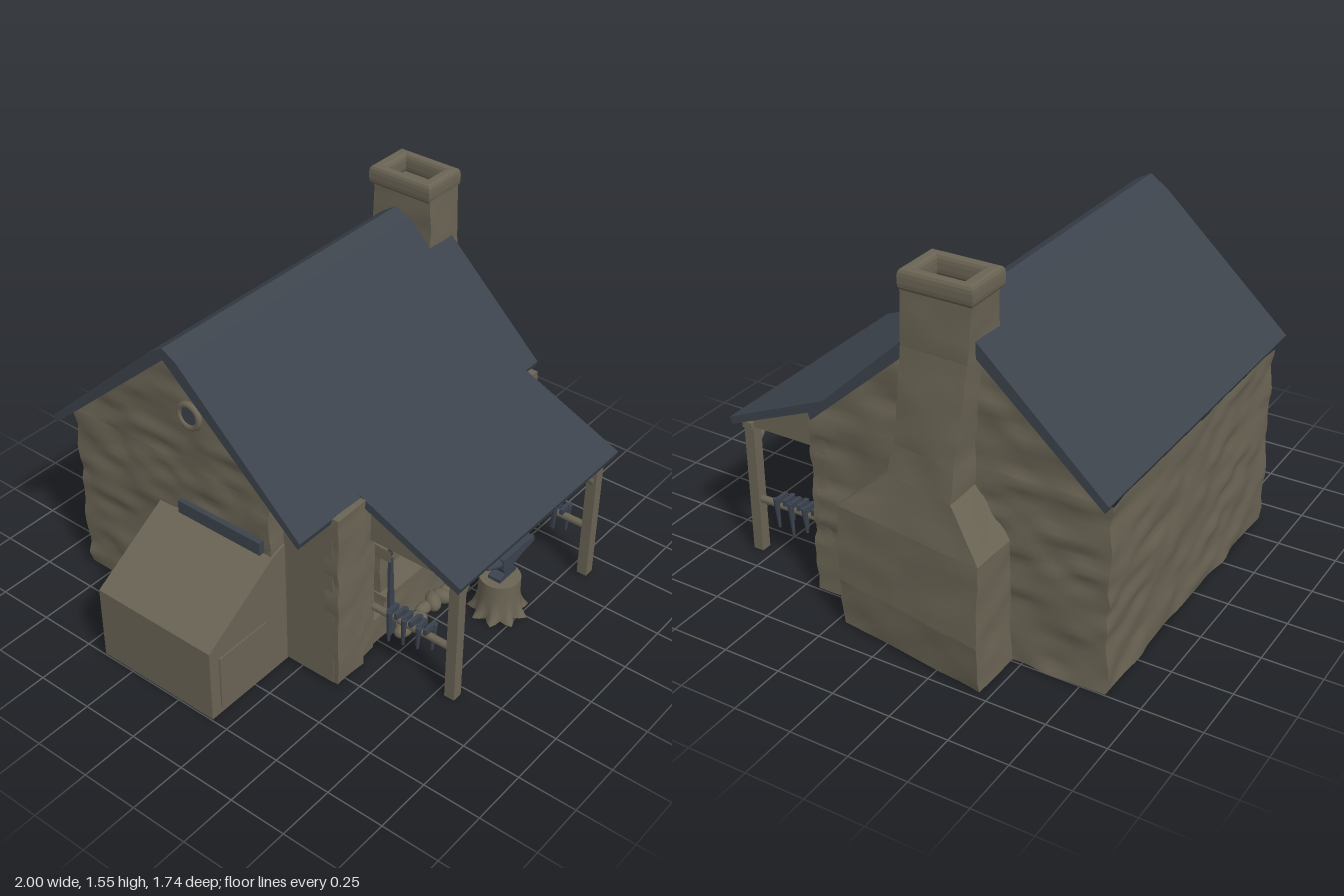
import * as THREE from 'three';

const mat = (name, color, side = THREE.FrontSide) => {
  const m = new THREE.MeshStandardMaterial({ color, side });
  m.name = name;
  return m;
};

// Smooth value noise in -1..1
const hash = (x, y, z) => {
  const s = Math.sin(x * 127.1 + y * 311.7 + z * 74.7) * 43758.5453;
  return s - Math.floor(s);
};
const noise = (x, y, z) => {
  const c = [x, y, z].map(Math.floor);
  const f = [x, y, z].map((v, i) => { const t = v - c[i]; return t * t * (3 - 2 * t); });
  let sum = 0;
  for (let i = 0; i < 8; i++) {
    const b = [i & 1, (i >> 1) & 1, i >> 2];
    const w = b.reduce((p, k, j) => p * (k ? f[j] : 1 - f[j]), 1);
    sum += w * hash(c[0] + b[0], c[1] + b[1], c[2] + b[2]);
  }
  return 2 * sum - 1;
};

export function createModel() {
  const root = new THREE.Group();
  root.name = 'smithy';
  const stone = mat('weathered stone', 0x6a6454);
  const slate = mat('dark slate', 0x3c434c);
  const iron = mat('iron', 0x3b424e);
  const fire = mat('fire glow', 0xffaa18, THREE.DoubleSide);

  const add = (name, geo, material, parent = root) => {
    const m = new THREE.Mesh(geo, material);
    m.name = name;
    parent.add(m);
    return m;
  };
  const group = (name) => {
    const g = new THREE.Group();
    g.name = name;
    root.add(g);
    return g;
  };

  // Uneven masonry: shift vertices by a function of position, so seams stay closed
  const rough = (geo, amp) => {
    const p = geo.attributes.position;
    for (let i = 0; i < p.count; i++) {
      const x = p.getX(i), y = p.getY(i), z = p.getZ(i);
      const a = noise(8 * x, 18 * y, 8 * z), b = noise(8 * x + 40, 18 * y, 8 * z + 20);
      p.setXYZ(i, x + amp * a, y > 0.02 ? y + amp * 0.3 * b : y, z + amp * b);
    }
    geo.computeVertexNormals();
    return geo;
  };

  // Box from its limits, optionally subdivided and roughened
  const box = (name, x0, x1, y0, y1, z0, z1, material, parent = root, amp = 0) => {
    const w = x1 - x0, h = y1 - y0, d = z1 - z0;
    const n = (s) => (amp ? Math.max(1, Math.round(s / 0.03)) : 1);
    const g = new THREE.BoxGeometry(w, h, d, n(w), n(h), n(d));
    g.translate((x0 + x1) / 2, (y0 + y1) / 2, (z0 + z1) / 2);
    return add(name, amp ? rough(g, amp) : g, material, parent);
  };

  // Bilinear wall patch, corners counter-clockwise seen from outside
  const patch = (name, a, b, c, d, nu, nv, parent, amp = 0.011) => {
    const g = new THREE.PlaneGeometry(1, 1, nu, nv);
    const p = g.attributes.position;
    const [A, B, C, D] = [a, b, c, d].map((v) => new THREE.Vector3(...v));
    for (let i = 0; i < p.count; i++) {
      const u = p.getX(i) + 0.5, v = p.getY(i) + 0.5;
      const q = A.clone().lerp(B, u).lerp(D.clone().lerp(C, u), v);
      p.setXYZ(i, q.x, q.y, q.z);
    }
    return add(name, rough(g, amp), stone, parent);
  };

  // Prism along x from a (z, y) outline
  const prismX = (name, pts, x0, x1, material, parent = root) => {
    const s = new THREE.Shape(pts.map(([z, y]) => new THREE.Vector2(-z, y)));
    const g = new THREE.ExtrudeGeometry(s, { depth: x1 - x0, bevelEnabled: false });
    return add(name, g.rotateY(Math.PI / 2).translate(x0, 0, 0), material, parent);
  };
  // Prism along z from an (x, y) outline
  const prismZ = (name, pts, z0, z1, material, parent = root) => {
    const s = new THREE.Shape(pts.map((v) => new THREE.Vector2(...v)));
    const g = new THREE.ExtrudeGeometry(s, { depth: z1 - z0, bevelEnabled: false });
    return add(name, g.translate(0, 0, z0), material, parent);
  };
  // Round bar between two points
  const bar = (name, a, b, r0, r1, material, parent = root) => {
    const A = new THREE.Vector3(...a), B = new THREE.Vector3(...b), d = B.clone().sub(A);
    const m = add(name, new THREE.CylinderGeometry(r1, r0, d.length(), 8), material, parent);
    m.position.copy(A).add(B).multiplyScalar(0.5);
    m.quaternion.setFromUnitVectors(new THREE.Vector3(0, 1, 0), d.normalize());
    return m;
  };

  // House shell, open at the front; the front left corner is set back
  const L = -0.635, R = 0.75, F = 0.41, S = 0.17, B = -0.855, E = 0.8, T = 1.36, M = -0.225;
  const walls = group('houseWalls');
  patch('backWall', [R, 0, B], [L, 0, B], [L, E, B], [R, E, B], 46, 32, walls);
  patch('leftWall', [L, 0, B], [L, 0, S], [L, E, S], [L, E, B], 36, 32, walls);
  patch('rightWall', [R, 0, F], [R, 0, B], [R, E, B], [R, E, F], 42, 32, walls);
  patch('leftGable', [L, E, B], [L, E, S], [L, 1.0, S], [L, T, M], 36, 20, walls);
  patch('rightGable', [R, E, F], [R, E, B], [R, T, M], [R, T, M], 42, 20, walls);
  patch('floor', [-0.56, 0, B], [R, 0, B], [R, 0, F], [-0.56, 0, F], 4, 4, walls, 0);
  patch('cornerFloor', [L, 0, B], [-0.56, 0, B], [-0.56, 0, S], [L, 0, S], 1, 4, walls, 0);
  box('setBackWall', L, -0.54, 0, 1.0, S - 0.04, S, stone, walls, 0.006);
  prismX('cornerReturn', [[S, 0], [0.41, 0], [0.41, 0.8], [S, 1.0]], -0.555, -0.53, stone, walls);
  box('frontWallLeft', -0.55, -0.3, 0, 0.8, 0.37, 0.41, stone, walls, 0.006);
  box('frontWallRight', 0.61, R, 0, 0.8, 0.37, 0.41, stone, walls, 0.006);
  box('frontWallTop', -0.3, 0.61, 0.57, 0.8, 0.37, 0.405, stone, walls);
  box('leftPillar', -0.555, -0.395, 0, 0.82, 0.37, 0.435, stone, walls, 0.008);
  box('rightPillar', 0.69, 0.75, 0, 0.8, 0.36, 0.435, stone, walls, 0.008);

  // Main roof and porch roof
  prismX('mainRoof', [[0.41, 0.82], [-0.16, 1.36], [-0.225, 1.395], [-0.3, 1.345], [-0.865, 0.82],
    [-0.85, 0.79], [M, 1.345], [0.4, 0.79]], -0.74, 0.785, slate);
  prismX('porchRoof', [[0.39, 0.835], [0.875, 0.625], [0.865, 0.595], [0.39, 0.795]], -0.39, 0.695, slate);

  // Chimney stack, lofted through skewed rings: y, front z, back z, front x, back x
  const rings = [
    [0, 0.21, -0.46, 0.88, 0.98], [0.2, 0.22, -0.455, 0.89, 0.995], [0.53, 0.215, -0.45, 0.885, 0.965],
    [0.72, 0.0, -0.31, 0.86, 0.92], [0.85, -0.025, -0.31, 0.85, 0.895], [1.24, -0.05, -0.335, 0.825, 0.835],
    [1.47, -0.055, -0.345, 0.825, 0.825]];
  const chimney = group('chimney');
  const IN = 0.635;
  for (let i = 0; i < rings.length - 1; i++) {
    const [y0, f0, b0, xf0, xb0] = rings[i], [y1, f1, b1, xf1, xb1] = rings[i + 1];
    const n = Math.max(2, Math.round((y1 - y0) / 0.04));
    const inner = y0 < 0.8 ? 0.74 : IN; // the stack widens inward where it passes the roof
    patch('stackOuter', [xf0, y0, f0], [xb0, y0, b0], [xb1, y1, b1], [xf1, y1, f1], 14, n, chimney, 0.006);
    patch('stackFront', [inner, y0, f0], [xf0, y0, f0], [xf1, y1, f1], [inner, y1, f1], 6, n, chimney, 0.006);
    patch('stackBack', [xb0, y0, b0], [inner, y0, b0], [inner, y1, b1], [xb1, y1, b1], 6, n, chimney, 0.006);
  }
  patch('stackInner', [IN, 1.1, -0.34], [IN, 1.1, -0.05], [IN, 1.47, -0.055], [IN, 1.47, -0.345], 6, 9, chimney, 0.006);
  patch('stackBase', [0.74, 0, -0.46], [0.98, 0, -0.46], [0.88, 0, 0.21], [0.74, 0, 0.21], 2, 2, chimney, 0);

  // Chimney cap with a flue opening
  const rect = (P, x0, x1, y0, y1) => {
    const s = new P();
    s.moveTo(x0, y0); s.lineTo(x1, y0); s.lineTo(x1, y1); s.lineTo(x0, y1); s.closePath();
    return s;
  };
  const capShape = rect(THREE.Shape, 0.638, 0.824, 0.07, 0.345);
  capShape.holes.push(rect(THREE.Path, 0.655, 0.808, 0.095, 0.315));
  const cap = new THREE.ExtrudeGeometry(capShape, { depth: 0.025, bevelSize: 0.015, bevelThickness: 0.03, bevelSegments: 3 });
  add('chimneyCap', cap.rotateX(-Math.PI / 2).translate(0, 1.485, 0), stone, chimney);
  box('flueBottom', 0.65, 0.81, 1.42, 1.46, -0.33, -0.08, stone, chimney);

  // Lean-to on the left side
  const shed = group('leanTo');
  prismZ('leanToBody', [[-1, 0], [-0.56, 0], [-0.56, 0.585], [-0.63, 0.565], [-1, 0.335]], -0.4, 0.18, stone, shed);
  box('frontPanel', -0.95, -0.68, 0.03, 0.28, 0.18, 0.186, stone, shed);
  box('ventStrip', -0.66, -0.63, 0.572, 0.63, -0.28, 0.14, slate, shed);

  // Round window in the left gable
  const ring = add('gableWindowFrame', new THREE.TorusGeometry(0.05, 0.014, 8, 20).rotateY(Math.PI / 2), stone);
  ring.position.set(L - 0.012, 1.06, -0.2);
  const pane = add('gableWindowPane', new THREE.CylinderGeometry(0.048, 0.048, 0.008, 20).rotateZ(Math.PI / 2), slate);
  pane.position.copy(ring.position);

  // Porch frame, with rails of hanging tools at both sides
  const porch = group('porchFrame');
  box('porchBeam', -0.36, 0.67, 0.578, 0.605, 0.79, 0.835, stone, porch);
  for (const [x, s] of [[-0.315, 1], [0.635, -1]]) {
    box('porchPost', x - 0.023, x + 0.023, 0, 0.59, 0.79, 0.836, stone, porch);
    prismX('porchSide', [[0.41, 0.795], [0.84, 0.605], [0.84, 0.58], [0.41, 0.58]], x - 0.015, x + 0.015, stone, porch);
    bar('brace', [x, 0.47, 0.812], [x + s * 0.11, 0.585, 0.812], 0.014, 0.014, stone, porch);
    bar('toolRail', [x, 0.24, 0.42], [x, 0.24, 0.81], 0.016, 0.016, stone, porch);
    for (let i = 0; i < 6; i++) {
      const z = 0.515 + i * 0.035, side = i % 2 ? 0.024 : -0.024;
      const low = 0.13 + 0.02 * ((i * 5) % 3);
      bar('hangingTool', [x + side, low, z], [x + side * 1.2, 0.285, z + 0.006], 0.006, 0.013, iron, porch);
      box('toolHead', x - 0.03, x + 0.03, 0.262, 0.288, z - 0.008, z + 0.008, iron, porch);
    }
  }

  // Forge hearth
  const forge = group('forge');
  box('hearthCounter', -0.22, 0.46, 0, 0.2, 0.16, 0.4, stone, forge, 0.005);
  box('hearthSlab', -0.23, 0.47, 0.195, 0.22, 0.16, 0.415, stone, forge);
  box('hearthBack', -0.22, 0.25, 0.2, 0.58, 0.12, 0.16, stone, forge);
  box('leftCheek', -0.225, -0.165, 0.2, 0.42, 0.16, 0.38, stone, forge, 0.005);
  box('rightCheek', 0.23, 0.46, 0.22, 0.58, 0.14, 0.38, stone, forge, 0.008);
  box('mantel', -0.235, 0.235, 0.415, 0.47, 0.16, 0.44, stone, forge, 0.004);
  box('hood', -0.19, 0.23, 0.47, 0.58, 0.16, 0.37, stone, forge, 0.006);
  box('lowLedge', -0.3, -0.2, 0, 0.13, 0.34, 0.4, stone, forge, 0.005);
  box('stoneBin', 0.44, 0.57, 0, 0.17, 0.34, 0.41, stone, forge, 0.006);
  const flame = new THREE.Shape();
  flame.moveTo(-0.15, 0.222);
  flame.lineTo(0.17, 0.222);
  flame.quadraticCurveTo(0.18, 0.28, 0.14, 0.31);
  flame.quadraticCurveTo(0.11, 0.35, 0.14, 0.415);
  flame.lineTo(-0.07, 0.415);
  flame.quadraticCurveTo(-0.05, 0.35, -0.11, 0.31);
  flame.quadraticCurveTo(-0.16, 0.28, -0.15, 0.222);
  add('fireGlow', new THREE.ShapeGeometry(flame).translate(0, 0, 0.168), fire, forge);

  // Iron bar and wall rack of tools
  prismZ('leaningBlade', [[-0.235, 0.03], [-0.19, 0.03], [-0.205, 0.2], [-0.225, 0.5], [-0.235, 0.5]], 0.425, 0.44, iron);
  const rack = group('toolRack');
  box('rackBar', 0.45, 0.61, 0.515, 0.54, 0.41, 0.435, stone, rack);
  [0.46, 0.485, 0.515, 0.555, 0.585].forEach((x, i) => {
    bar('rackTool', [x, 0.34 - 0.02 * (i % 2), 0.445], [x, 0.54, 0.44], 0.01, 0.008, iron, rack);
    const t = add('toolRing', new THREE.TorusGeometry(0.019, 0.006, 6, 12), iron, rack);
    t.position.set(x, 0.33 + 0.05 * (i % 3), 0.445);
  });
  bar('longRod', [0.53, 0.01, 0.46], [0.525, 0.5, 0.44], 0.012, 0.009, iron, rack);

  // Rubble along the foot of the forge
  const rubble = group('rubble');
  for (let i = 0; i < 13; i++) {
    const r = 0.025 + 0.02 * hash(i, 3, 1);
    const s = add('fuelLump', new THREE.IcosahedronGeometry(r, 1), stone, rubble);
    s.position.set(-0.16 + i * 0.052, r * 0.8, 0.435 + 0.03 * hash(i, 1, 2));
    s.scale.set(1.4, 0.8 + 0.2 * hash(i, 5, 5), 0.9);
    s.rotation.y = i;
  }

  // Stump with spreading roots
  const stumpGeo = new THREE.CylinderGeometry(0.086, 0.088, 0.175, 36, 6);
  const sp = stumpGeo.attributes.position;
  for (let i = 0; i < sp.count; i++) {
    const x = sp.getX(i), y = sp.getY(i), z = sp.getZ(i), t = 0.5 - y / 0.175;
    const k = 1 + Math.pow(t, 4) * (0.24 + 0.24 * Math.cos(9 * Math.atan2(z, x)));
    sp.setXYZ(i, x * k, y, z * k);
  }
  stumpGeo.computeVertexNormals();
  add('stump', stumpGeo, stone).position.set(0.215, 0.0875, 0.66);

  // Anvil
  const anvil = group('anvil');
  prismZ('anvilBody', [[0.17, 0.175], [0.285, 0.175], [0.285, 0.19], [0.26, 0.205], [0.265, 0.22], [0.32, 0.235],
    [0.41, 0.25], [0.41, 0.272], [0.36, 0.28], [0.19, 0.28], [0.19, 0.23], [0.205, 0.205], [0.17, 0.19]], 0.63, 0.69, iron, anvil);
  bar('anvilHorn', [0.2, 0.252, 0.66], [0.115, 0.27, 0.66], 0.028, 0.006, iron, anvil);

  return root;
}
